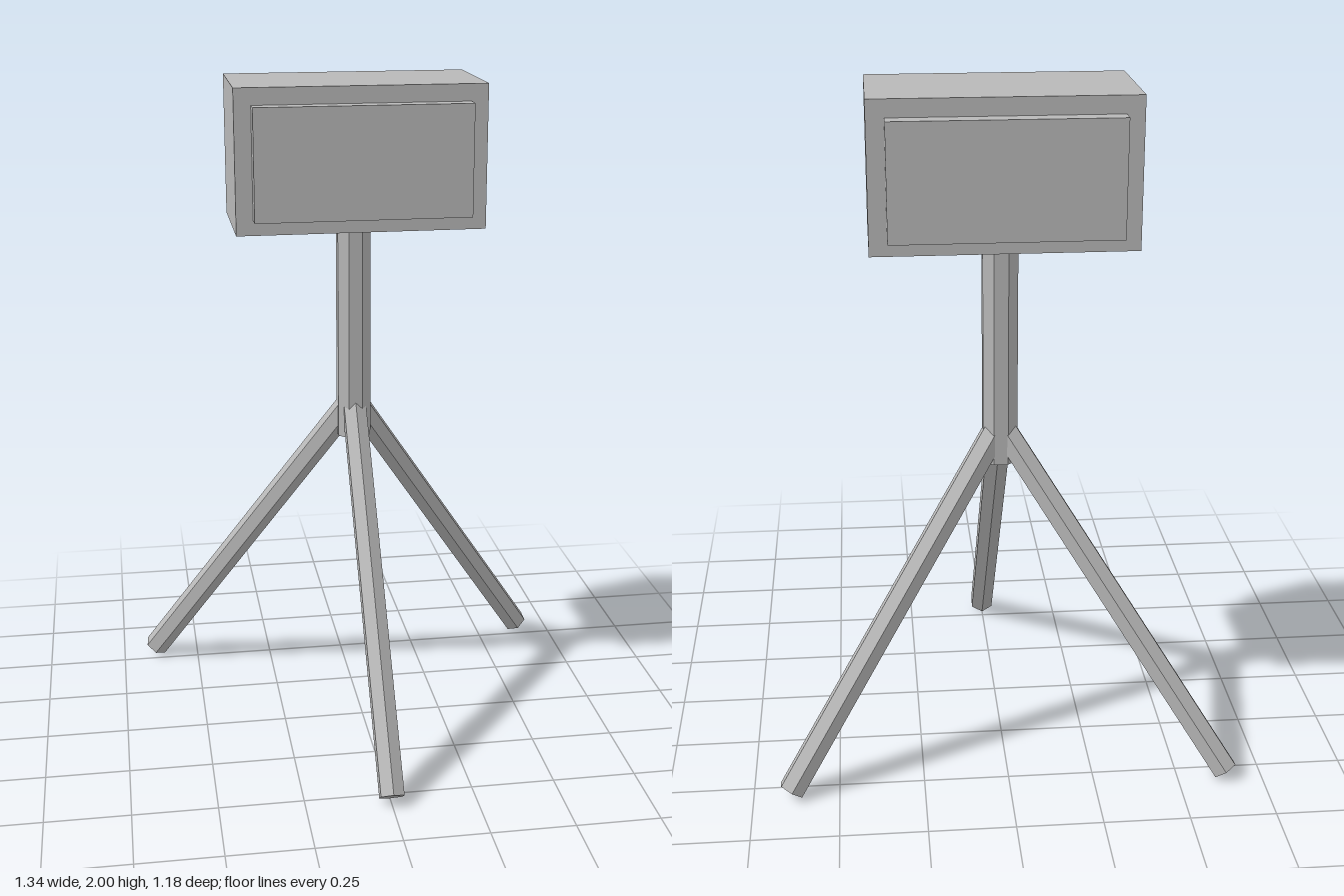
import * as THREE from 'three';

const AXIS_Z = -0.182; // centre line of the post

export function createModel() {
  const model = new THREE.Group();
  const grey = new THREE.MeshStandardMaterial({ color: 0xb8b8b8, flatShading: true });
  grey.name = 'plain grey';

  const add = (name, geometry, x, y, z) => {
    const mesh = new THREE.Mesh(geometry, grey);
    mesh.name = name;
    mesh.position.set(x, y, z);
    model.add(mesh);
    return mesh;
  };

  // Head: a box with a raised panel on the front and back
  add('headBox', new THREE.BoxGeometry(0.74, 0.425, 0.37), 0, 1.7875, -0.185);
  add('frontPanel', new THREE.BoxGeometry(0.64, 0.33, 0.05), 0, 1.785, 0.025);
  add('backPanel', new THREE.BoxGeometry(0.64, 0.33, 0.05), 0, 1.785, -0.395);

  // Octagonal post, flat side to the front
  const post = new THREE.CylinderGeometry(0.0545, 0.0545, 0.682, 8).rotateY(Math.PI / 8);
  add('post', post, 0, 1.236, AXIS_Z);

  // Three hexagonal legs leaning out from the post, feet cut square
  const length = 1.232;
  const leg = new THREE.CylinderGeometry(0.04, 0.04, length, 6);
  leg.translate(0, -length / 2, 0).rotateX(-Math.atan(0.75));
  ['frontLeg', 'backLeftLeg', 'backRightLeg'].forEach((name, i) => {
    add(name, leg, 0, 1.01, AXIS_Z).rotation.y = (i * Math.PI * 2) / 3;
  });

  return model;
}
